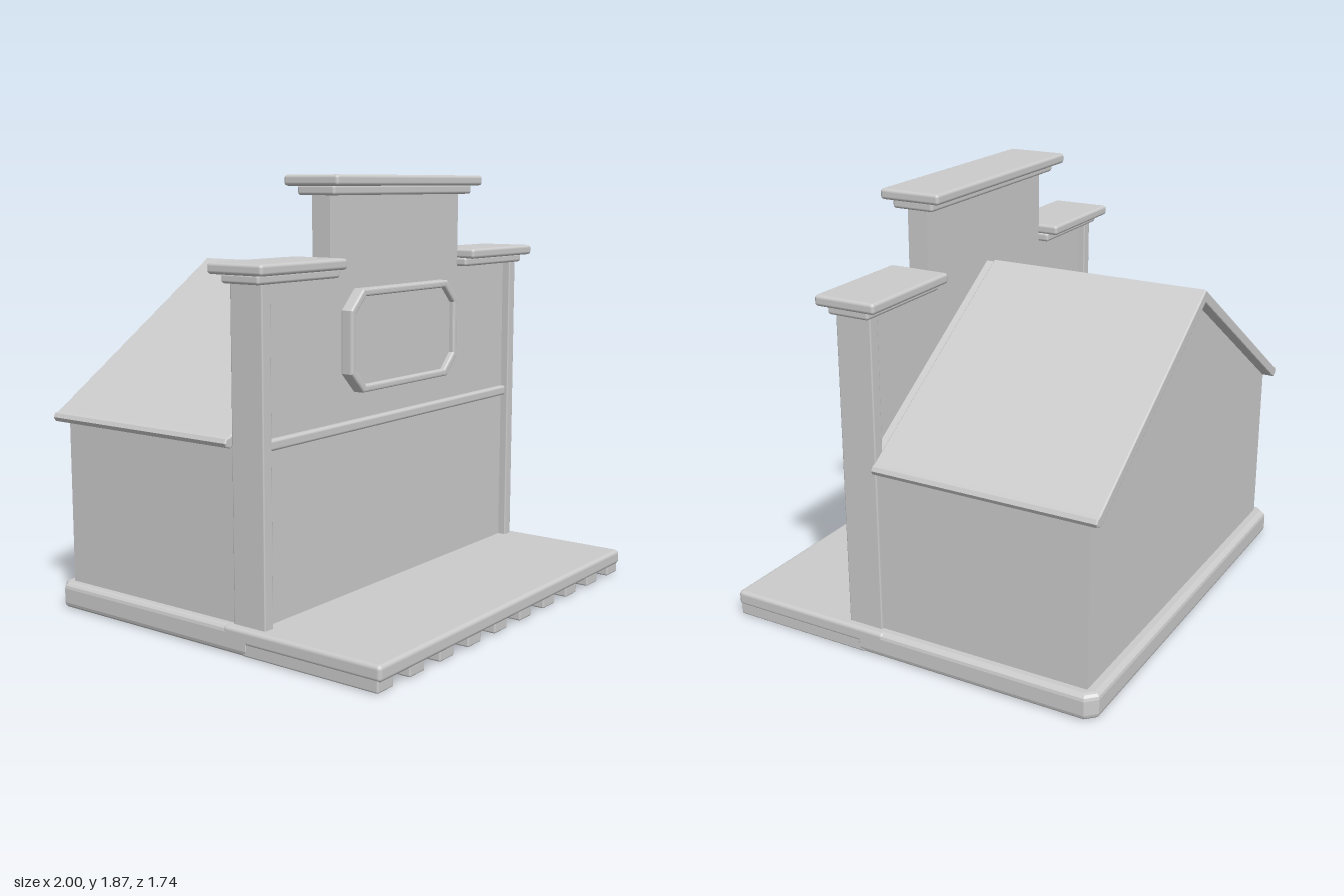
import * as THREE from 'three';
import { RoundedBoxGeometry } from 'three/addons/geometries/RoundedBoxGeometry.js';

const material = new THREE.MeshStandardMaterial({ color: 0xcccccc });

export function createModel() {
  const model = new THREE.Group();

  function add(name, geometry) {
    const mesh = new THREE.Mesh(geometry, material);
    mesh.name = name;
    model.add(mesh);
    return mesh;
  }

  // Softened box given by its limits on each axis
  function block(name, [x0, x1], [y0, y1], [z0, z1], radius = 0.006) {
    const box = new RoundedBoxGeometry(x1 - x0, y1 - y0, z1 - z0, 2, radius);
    add(name, box.translate((x0 + x1) / 2, (y0 + y1) / 2, (z0 + z1) / 2));
  }

  // Bevelled extrusion of a shape that fills z0..z1
  function slab(shape, z0, z1, bevel) {
    return new THREE.ExtrudeGeometry(shape, {
      depth: z1 - z0 - 2 * bevel, bevelEnabled: bevel > 0, bevelSize: bevel,
      bevelThickness: bevel, bevelOffset: -bevel, bevelSegments: 3,
    }).translate(0, 0, z0 + bevel);
  }

  const polygon = (points) => new THREE.Shape(points.map(([x, y]) => new THREE.Vector2(x, y)));

  // Rectangle with cut corners
  const cutRect = (x, y0, y1, c) => polygon([
    [-x + c, y0], [x - c, y0], [x, y0 + c], [x, y1 - c],
    [x - c, y1], [-x + c, y1], [-x, y1 - c], [-x, y0 + c],
  ]);

  // Foundation, front deck and the joists beneath it
  add('foundation', slab(cutRect(0.975, -0.265, 0.87, 0.045), 0, 0.112, 0.025).rotateX(-Math.PI / 2));
  block('deck', [-0.975, 0.975], [0.045, 0.112], [0.1, 0.87], 0.018);
  for (let i = 0; i < 10; i++) {
    const x = -0.922 + i * 0.205;
    block('joist', [x - 0.05, x + 0.05], [0.003, 0.06], [0.2, 0.858], 0.008);
  }

  // House body with gable end
  add('house', slab(polygon([
    [-0.925, 0.1], [0.925, 0.1], [0.925, 0.868], [0, 1.472], [-0.925, 0.868],
  ]), -0.815, 0.2, 0));

  // Roof with rounded eaves
  const half = [[0.945, 0.865], [0.966, 0.859], [0.975, 0.842], [0.966, 0.825], [0.945, 0.819], [0.92, 0.827]];
  add('roof', slab(polygon([
    [0, 1.48],
    ...half.map(([x, y]) => [-x, y]),
    [0, 1.425],
    ...half.slice().reverse(),
  ]), -0.865, 0.13, 0.006));

  // Stepped false front
  add('facade', slab(polygon([
    [-0.9, 0.1], [0.9, 0.1], [0.9, 1.49], [0.475, 1.49],
    [0.475, 1.81], [-0.475, 1.81], [-0.475, 1.49], [-0.9, 1.49],
  ]), 0.165, 0.255, 0));
  block('rail', [-0.89, 0.89], [0.813, 0.858], [0.24, 0.28], 0.012);

  // Pilasters and side cornices
  for (const s of [-1, 1]) {
    const span = (a, b) => (s > 0 ? [a, b] : [-b, -a]);
    block('pilaster', span(0.885, 0.937), [0.1, 1.48], [0.13, 0.292]);
    block('sideCorniceLower', span(0.47, 0.972), [1.46, 1.5], [0.115, 0.305], 0.012);
    block('sideCorniceUpper', span(0.47, 1), [1.495, 1.54], [0.068, 0.345], 0.014);
  }

  // Centre cornice
  block('topCorniceLower', [-0.51, 0.51], [1.788, 1.83], [0.115, 0.305], 0.012);
  block('topCorniceUpper', [-0.54, 0.54], [1.825, 1.87], [0.068, 0.345], 0.014);

  // Blank sign with raised frame
  const frame = cutRect(0.4, 0.975, 1.407, 0.085);
  frame.holes.push(cutRect(0.367, 1.007, 1.375, 0.07));
  add('signFrame', slab(frame, 0.25, 0.31, 0.01));
  add('signPanel', slab(cutRect(0.38, 0.995, 1.387, 0.075), 0.25, 0.285, 0));

  return model;
}
